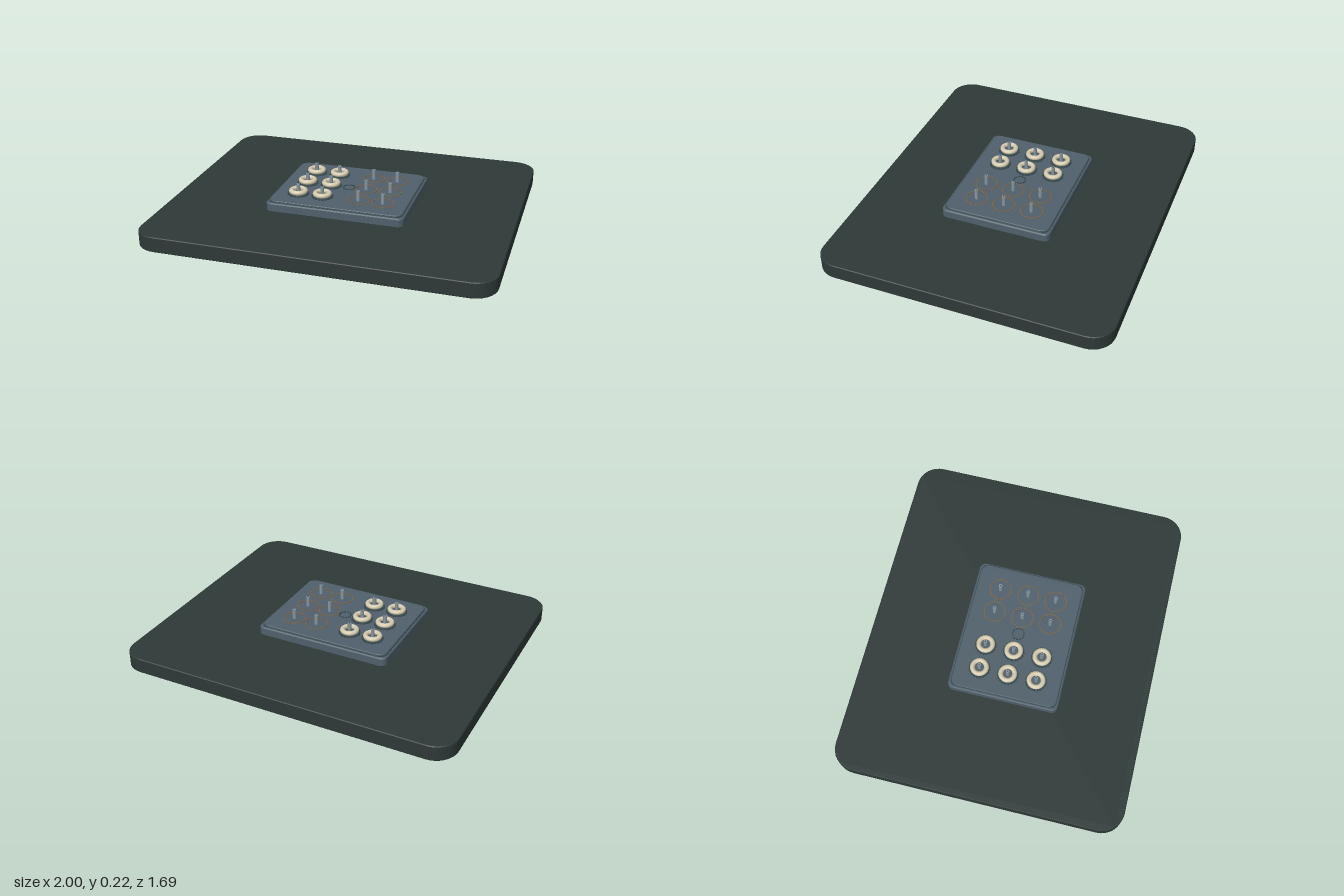
import * as THREE from 'three';

const mat = (name, color) => {
  const m = new THREE.MeshStandardMaterial({ color });
  m.name = name;
  return m;
};

// Horizontal slab with rounded corners and a small bevel, from y0 to y1
function slab(w, d, r, y0, y1, bevel, segments) {
  const x = w / 2 - bevel, z = d / 2 - bevel, k = r - bevel;
  const s = new THREE.Shape();
  s.absarc(x - k, z - k, k, 0, Math.PI / 2);
  s.absarc(-x + k, z - k, k, Math.PI / 2, Math.PI);
  s.absarc(-x + k, -z + k, k, Math.PI, Math.PI * 1.5);
  s.absarc(x - k, -z + k, k, Math.PI * 1.5, Math.PI * 2);
  s.closePath();
  const g = new THREE.ExtrudeGeometry(s, {
    depth: y1 - y0 - 2 * bevel, curveSegments: segments,
    bevelThickness: bevel, bevelSize: bevel, bevelSegments: 1,
  });
  return g.rotateX(-Math.PI / 2).translate(0, y0 + bevel, 0);
}

export function createModel() {
  const model = new THREE.Group();
  const baseGreen = mat('dark green base', 0x2e3937);
  const slate = mat('slate blue', 0x50606b);
  const darkTeal = mat('dark teal', 0x35494c);
  const bronze = mat('bronze', 0x7d6646);
  const steel = mat('steel', 0x8796a0);
  const cream = mat('cream', 0xd6ccb0);

  const add = (name, geo, material, x = 0, y = 0, z = 0, parent = model) => {
    const m = new THREE.Mesh(geo, material);
    m.name = name;
    m.position.set(x, y, z);
    parent.add(m);
    return m;
  };

  // Base and stepped plinth
  const cz = 0.018;
  add('base', slab(2, 1.69, 0.13, 0, 0.09, 0.004, 4), baseGreen);
  add('plinth', slab(0.812, 0.654, 0.035, 0.088, 0.143, 0.006, 3), slate, 0, 0, cz);
  add('plinthSeam', slab(0.79, 0.632, 0.04, 0.14, 0.147, 0.001, 4), darkTeal, 0, 0, cz);
  add('topPlate', slab(0.782, 0.624, 0.045, 0.145, 0.154, 0.003, 4), slate, 0, 0, cz);

  // Ring of short raised dashes around a socket
  const dash = new THREE.BoxGeometry(0.007, 0.005, 0.012);
  const dashRing = (name, material, radius, count, x, z) => {
    const ring = new THREE.Group();
    ring.name = name;
    ring.position.set(x, 0.1555, z);
    for (let i = 0; i < count; i++) {
      const a = (i / count) * Math.PI * 2;
      add('dash', dash, material, Math.cos(a) * radius, 0, Math.sin(a) * radius, ring)
        .rotation.y = -a;
    }
    model.add(ring);
  };

  const peg = new THREE.CylinderGeometry(0.011, 0.011, 0.064, 10);
  const pegTip = new THREE.CylinderGeometry(0.005, 0.005, 0.002, 8);
  const donut = new THREE.TorusGeometry(0.041, 0.0145, 10, 24).rotateX(Math.PI / 2);
  const seat = new THREE.CylinderGeometry(0.058, 0.06, 0.005, 24);
  const hub = new THREE.CylinderGeometry(0.028, 0.028, 0.003, 16);

  // Two columns of ringed pegs and two of bare pegs
  for (const z of [-0.15, 0.019, 0.188]) {
    for (const x of [-0.257, -0.111, 0.105, 0.251]) {
      add('peg', peg, steel, x, 0.183, z);
      add('pegTip', pegTip, slate, x, 0.2155, z);
      if (x < 0) {
        dashRing('ringMarker', darkTeal, 0.06, 20, x, z);
        add('ringSeat', seat, darkTeal, x, 0.156, z);
        add('socketFloor', hub, slate, x, 0.158, z);
        add('ring', donut, cream, x, 0.172, z);
      } else {
        dashRing('emptyMarker', bronze, 0.063, 24, x, z);
      }
    }
  }

  // Small centre marker
  dashRing('centreMarker', darkTeal, 0.034, 12, 0, 0.019);
  return model;
}
